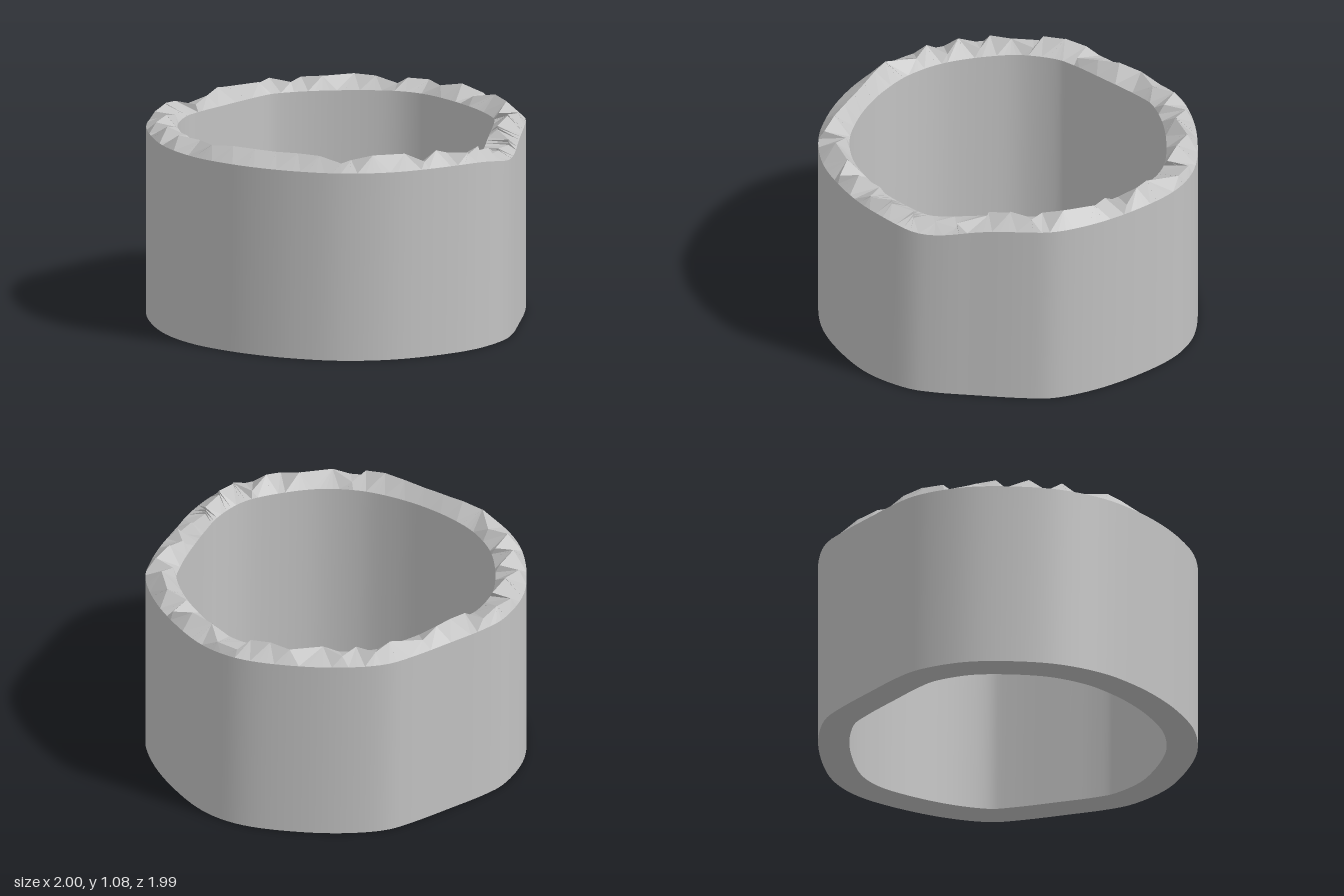
import * as THREE from 'three';

const N = 144;        // samples around the ring
const WALL = 0.163;   // wall thickness
const CELL = 0.1242;  // grid size of the rough crest

// Half of the outer outline as x, z from back to front, mirrored in x
const HALF = [
  [0, -1], [0.17, -0.975], [0.46, -0.845], [0.655, -0.71], [0.775, -0.585], [0.835, -0.455],
  [0.92, -0.2], [0.978, -0.01], [1, 0.13], [0.955, 0.37], [0.85, 0.56], [0.65, 0.785],
  [0.42, 0.92], [0.2, 0.975], [0, 0.99],
];

// Surface between two closed rings of points
function strip(a, b) {
  const n = a.length;
  const index = [];
  for (let i = 0; i < n; i++) {
    const j = (i + 1) % n;
    index.push(i, n + i, j, n + i, n + j, j);
  }
  const geometry = new THREE.BufferGeometry().setFromPoints([...a, ...b]);
  geometry.setIndex(index);
  geometry.computeVertexNormals();
  return geometry;
}

// Faceted version of the same surface
function facetedStrip(a, b) {
  const geometry = strip(a, b).toNonIndexed();
  geometry.computeVertexNormals();
  return geometry;
}

export function createModel() {
  const group = new THREE.Group();
  group.name = 'ringWall';
  const stone = new THREE.MeshStandardMaterial({ color: 0xc2c2c2 });
  stone.name = 'stone grey';

  const add = (name, geometry) => {
    const mesh = new THREE.Mesh(geometry, stone);
    mesh.name = name;
    group.add(mesh);
  };

  const mirrored = HALF.slice(1, -1).reverse().map(([x, z]) => [-x, z]);
  const outline = new THREE.CatmullRomCurve3(
    [...HALF, ...mirrored].map(([x, z]) => new THREE.Vector3(x, 0, z)), true);

  const outerLow = [], outerTop = [], innerLow = [], innerTop = [], ridge = [];
  for (let i = 0; i < N; i++) {
    const p = outline.getPointAt(i / N);
    const t = outline.getTangentAt(i / N);
    const normal = new THREE.Vector3(t.z, 0, -t.x).normalize();
    const q = p.clone().addScaledVector(normal, -WALL);

    // The rim sags on the left side
    const dip = p.x > 0 ? Math.exp(-(((p.z - 0.03) / 0.24) ** 2)) : 0;
    outerLow.push(p);
    innerLow.push(q);
    outerTop.push(p.clone().setY(1.005 - 0.055 * dip));
    innerTop.push(q.clone().setY(1.005 - 0.035 * dip));

    // Ridge points snap to a square grid, kept inside the wall
    const mid = p.clone().lerp(q, 0.5);
    const r = new THREE.Vector3(
      Math.round((mid.x + 0.955) / CELL) * CELL - 0.955, 0,
      Math.round((mid.z - 0.89) / CELL) * CELL + 0.89);
    const across = r.clone().sub(mid).dot(normal);
    const kept = THREE.MathUtils.clamp(across, -0.062, 0.062);
    r.addScaledVector(normal, kept - across);
    r.y = 1.08 - 0.75 * Math.max(0, Math.abs(kept) - 0.012) - 0.1 * dip;
    ridge.push(r);
  }

  add('outerWall', strip(outerLow, outerTop));
  add('crestOuterSlope', facetedStrip(outerTop, ridge));
  add('crestInnerSlope', facetedStrip(ridge, innerTop));
  add('innerWall', strip(innerTop, innerLow));
  add('base', strip(innerLow, outerLow));
  return group;
}
